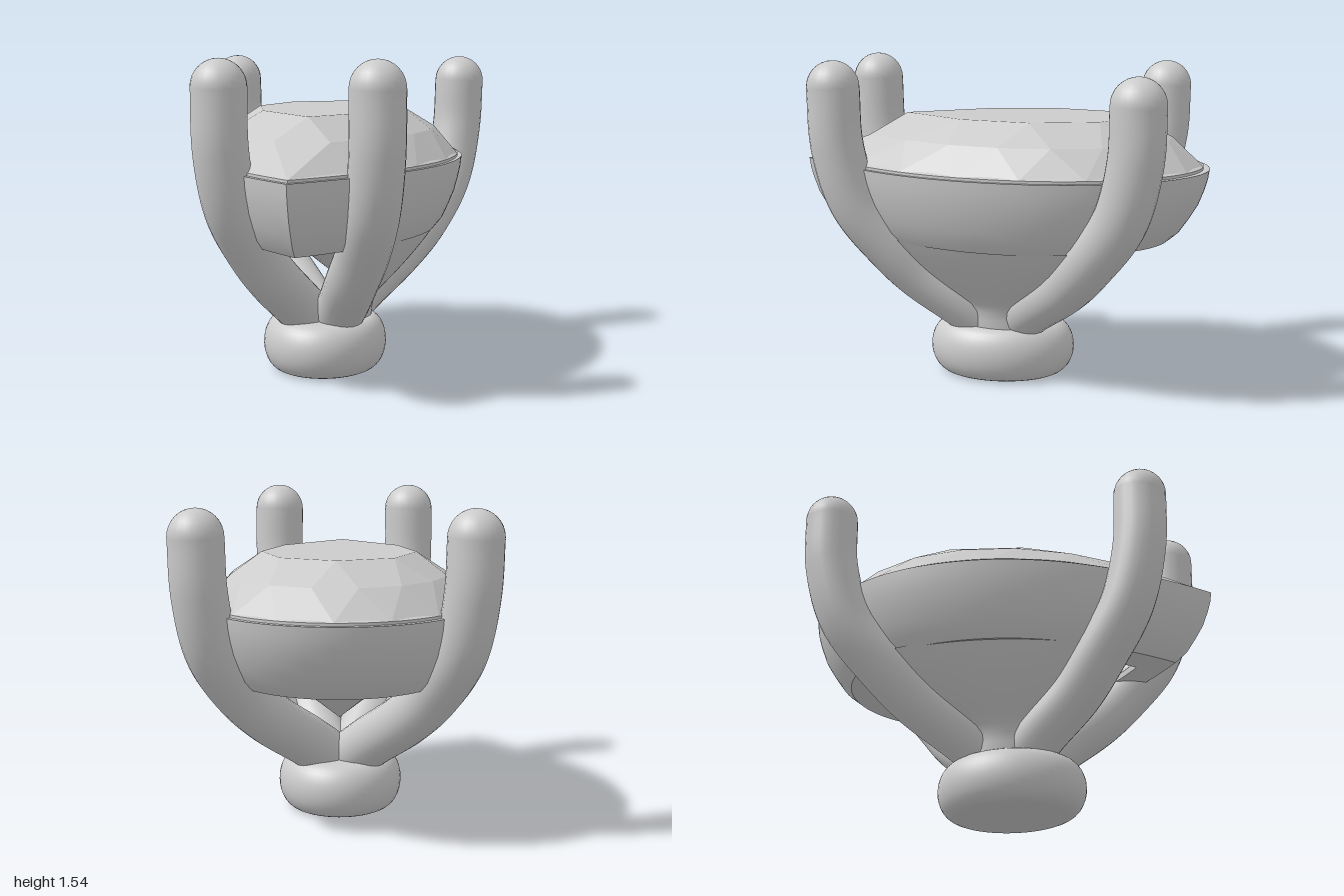
import * as THREE from 'three';
import { toCreasedNormals } from 'three/addons/utils/BufferGeometryUtils.js';

const smooth = new THREE.MeshStandardMaterial({ color: 0xcccccc });
const faceted = new THREE.MeshStandardMaterial({ color: 0xcccccc, flatShading: true });
const thin = new THREE.MeshStandardMaterial({ color: 0xcccccc, side: THREE.DoubleSide });

// Pear outline: t = 0 is the front tip, t = 0.5 the round back, counter-clockwise from above
function pear(t) {
  t = ((t % 1) + 1) % 1;
  const side = t > 0.5 ? -1 : 1;
  const s = 2 * (t > 0.5 ? 1 - t : t);
  if (s < 0.5) {
    const u = 1 - 2 * s;
    return [side * 0.65 * (1 - u ** 2.1), -0.22 + 1.22 * u];
  }
  const a = (s - 0.5) * Math.PI;
  return [side * 0.65 * Math.cos(a), -0.22 - 0.78 * Math.sin(a)];
}

// Pear ring at a height; turn offsets the corners by part of a step, merge joins neighbouring corners
function pearRing(n, scale, y, shift = 0, turn = 0, merge = 0) {
  return Array.from({ length: n + 1 }, (_, k) => {
    const corner = merge ? Math.floor((k + turn) / merge) * merge : k + turn;
    const [x, z] = pear(corner / n);
    return new THREE.Vector3(x * scale, y, z * scale + shift);
  });
}

// Skin a row of equal-length cross-sections
function loft(rings) {
  const pos = [];
  for (let i = 0; i < rings.length - 1; i++) {
    for (let k = 0; k < rings[i].length - 1; k++) {
      const a = rings[i][k], b = rings[i][k + 1];
      const c = rings[i + 1][k + 1], d = rings[i + 1][k];
      for (const p of [a, b, d, b, c, d]) pos.push(p.x, p.y, p.z);
    }
  }
  const g = new THREE.BufferGeometry();
  g.setAttribute('position', new THREE.Float32BufferAttribute(pos, 3));
  g.computeVertexNormals();
  return g;
}

function add(parent, name, geometry, material) {
  const mesh = new THREE.Mesh(geometry, material);
  mesh.name = name;
  parent.add(mesh);
  return mesh;
}

// Prong centre lines on the +x side
const prongPoints = {
  Front: [
    [0.05, 0.23, 0.03], [0.12, 0.36, 0.18], [0.19, 0.51, 0.37], [0.25, 0.65, 0.495],
    [0.315, 0.87, 0.65], [0.345, 1.14, 0.725], [0.347, 1.42, 0.74],
  ],
  Back: [
    [0.03, 0.23, -0.03], [0.16, 0.36, -0.18], [0.32, 0.51, -0.37], [0.435, 0.65, -0.495],
    [0.545, 0.87, -0.65], [0.592, 1.14, -0.72], [0.602, 1.385, -0.73],
  ],
};
const prongPath = (name, side) => new THREE.CatmullRomCurve3(
  prongPoints[name].map(([x, y, z]) => new THREE.Vector3(x * side, y, z)));

// Point on a prong's centre line at a given height
function atHeight(path, y) {
  let lo = 0, hi = 1;
  for (let i = 0; i < 24; i++) {
    const mid = (lo + hi) / 2;
    if (path.getPoint(mid).y < y) lo = mid; else hi = mid;
  }
  return path.getPoint(lo);
}

// Side web: a curved sheet bowed outward between the two prongs of one side
function web(side, inset) {
  const front = prongPath('Front', side), back = prongPath('Back', side);
  const rings = [];
  for (let i = 0; i <= 12; i++) {
    const y = 0.22 + 0.48 * (i / 12);
    const f = atHeight(front, Math.max(y, 0.36)), b = atHeight(back, Math.max(y, 0.36));
    const [start, end] = side > 0 ? [f, b] : [b, f];
    const bow = 0.08 + 0.06 * (i / 12);
    rings.push(Array.from({ length: 25 }, (_, k) => {
      const p = start.clone().lerp(end, k / 24);
      p.x += side * (Math.abs(Math.sin((k / 24) * Math.PI)) ** 0.65 * bow - inset);
      p.y = y;
      return p;
    }));
  }
  return toCreasedNormals(loft(rings), 0.6);
}

export function createModel() {
  const model = new THREE.Group();

  // Base: rounded oval foot
  const foot = [new THREE.Vector2(0, 0)];
  for (let i = 0; i <= 16; i++) {
    const a = -Math.PI / 2 + (i / 16) * Math.PI;
    foot.push(new THREE.Vector2(0.22 + 0.082 * Math.cos(a), 0.13 + 0.13 * Math.sin(a)));
  }
  foot.push(new THREE.Vector2(0, 0.26));
  add(model, 'base', new THREE.LatheGeometry(foot, 48), smooth).scale.z = 1.18;

  // Bezel: up the curved outside, over the rim and down the inside
  const bezelProfile = [
    [0.81, 0.69], [0.865, 0.735], [0.91, 0.8], [0.95, 0.865], [0.977, 0.935], [0.992, 0.985],
    [1, 1.035], [0.965, 1.035], [0.93, 0.93], [0.62, 0.72], [0.62, 0.69], [0.81, 0.69],
  ];
  const bezel = loft(bezelProfile.map(([s, y]) => pearRing(96, s, y)));
  add(model, 'bezel', toCreasedNormals(bezel, 0.5), smooth);

  // Gem: pointed pavilion, staggered crown facets and a flat table with fewer corners
  const gemProfile = [
    [0, 0.46, -0.12], [0.52, 0.74, -0.06, 0.5], [0.97, 1.0], [0.97, 1.048],
    [0.79, 1.175, -0.035, 0.5], [0.56, 1.275, -0.08, 1, 2], [0, 1.275, -0.1, 1],
  ];
  add(model, 'gem', loft(gemProfile.map((ring) => pearRing(16, ...ring))), faceted);

  // Girdle: fine rounded edge of the gem
  const girdle = loft([[0.97, 1.0], [0.97, 1.048], [0.9, 1.07]].map((ring) => pearRing(96, ...ring)));
  add(model, 'girdle', toCreasedNormals(girdle, 0.5), smooth);

  // Prongs and webs on both sides
  for (const side of [1, -1]) {
    const label = side > 0 ? 'left' : 'right';
    for (const name of ['Front', 'Back']) {
      const prong = new THREE.Group();
      prong.name = label + name + 'Prong';
      const line = prongPath(name, side);
      add(prong, 'shaft', new THREE.TubeGeometry(line, 40, 0.125, 24), smooth);
      add(prong, 'tip', new THREE.SphereGeometry(0.125, 24, 16), smooth).position.copy(line.getPoint(1));
      model.add(prong);
    }
    add(model, label + 'WebOutside', web(side, 0), thin);
    add(model, label + 'WebInside', web(side, 0.06), thin);
  }
  return model;
}
